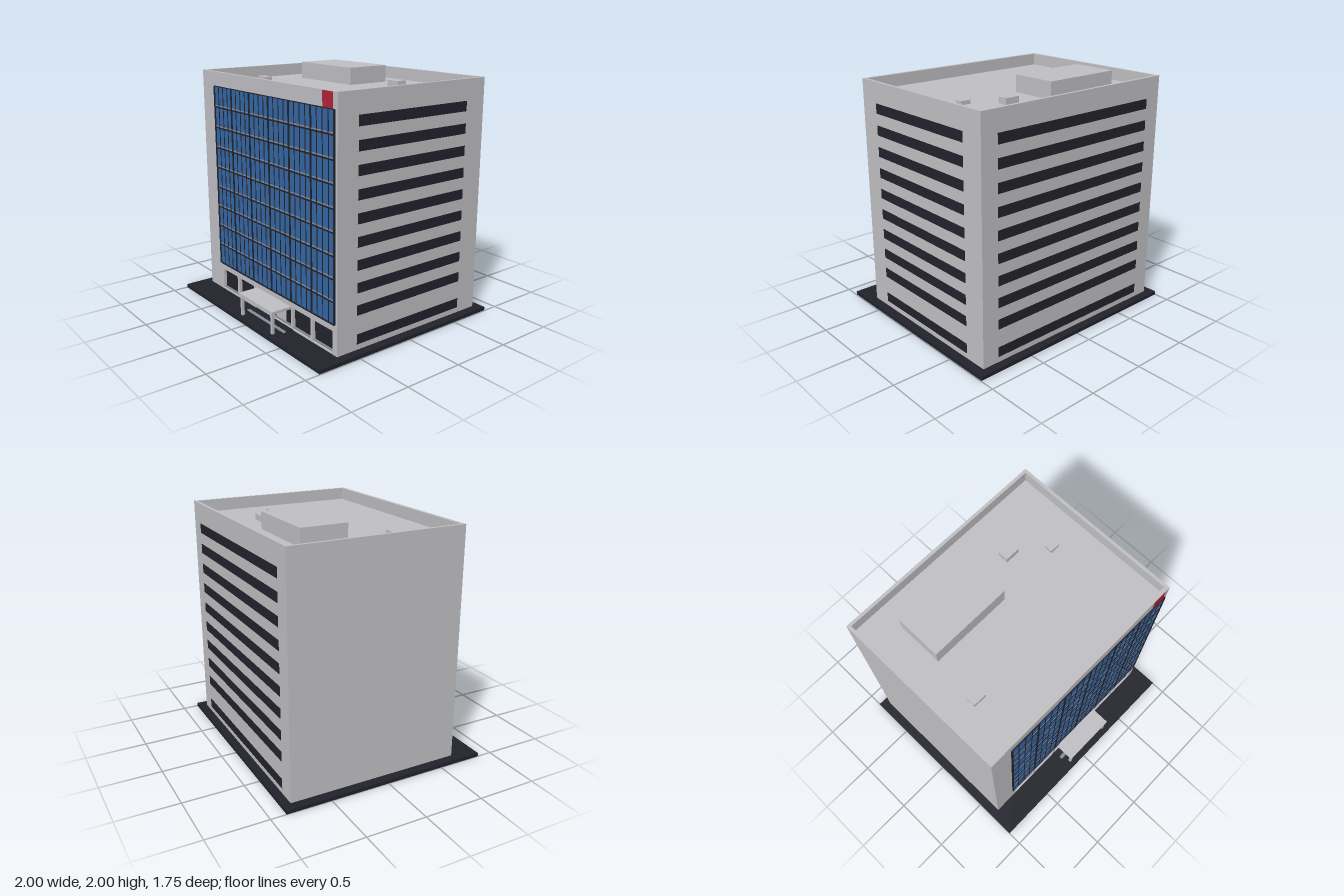
import * as THREE from 'three';

const mat = (name, color) => {
  const m = new THREE.MeshStandardMaterial({ color });
  m.name = name;
  return m;
};

export function createModel() {
  const wall = mat('pale grey concrete', 0xc0c0c4);
  const dark = mat('dark glass and paving', 0x22222c);
  const blue = mat('blue glass', 0x3465a4);
  const red = mat('red panel', 0xb02238);
  const sillGrey = mat('grey sill', 0x858c98);

  const model = new THREE.Group();
  model.name = 'officeBuilding';

  // box given by its limits on each axis
  function box(name, material, x0, x1, y0, y1, z0, z1, parent = model) {
    const mesh = new THREE.Mesh(new THREE.BoxGeometry(x1 - x0, y1 - y0, z1 - z0), material);
    mesh.position.set((x0 + x1) / 2, (y0 + y1) / 2, (z0 + z1) / 2);
    mesh.name = name;
    parent.add(mesh);
    return mesh;
  }
  function group(name) {
    const g = new THREE.Group();
    g.name = name;
    model.add(g);
    return g;
  }
  function rect(PathType, x0, x1, y0, y1) {
    return new PathType().moveTo(x0, y0).lineTo(x1, y0).lineTo(x1, y1).lineTo(x0, y1).closePath();
  }
  function extrude(name, shape, depth) {
    const mesh = new THREE.Mesh(new THREE.ExtrudeGeometry(shape, { depth, bevelEnabled: false }), wall);
    mesh.name = name;
    model.add(mesh);
    return mesh;
  }

  const L = -0.925, R = 0.92, BACK = -0.805, FRONT = 0.655;
  const FLOOR = 0.03, ROOF = 1.86, TOP = 1.96, RECESS = 0.03;

  box('pavement', dark, -1, 0.995, 0, FLOOR, -0.873, 0.873);
  box('buildingBody', wall, L, R, FLOOR, ROOF, BACK, FRONT - RECESS);

  // front wall with openings for the ground floor windows
  const bays = [[-0.70, -0.465], [-0.435, -0.2], [-0.17, 0.338], [0.358, 0.596], [0.62, 0.862]];
  const face = rect(THREE.Shape, L, R, FLOOR, ROOF);
  bays.forEach(([a, b]) => face.holes.push(rect(THREE.Path, a, b, 0.042, 0.218)));
  extrude('frontWall', face, RECESS).position.z = FRONT - RECESS;
  const shops = group('groundFloorWindows');
  bays.forEach(([a, b]) => {
    box('shopWindow', dark, a, b, 0.042, 0.218, FRONT - RECESS, FRONT - RECESS + 0.004, shops);
    box('shopSill', sillGrey, a, b, 0.042, 0.054, FRONT - RECESS, FRONT - 0.012, shops);
  });

  // parapet ring round the roof
  const ring = rect(THREE.Shape, L, R, -FRONT, -BACK);
  ring.holes.push(rect(THREE.Path, L + 0.026, R - 0.026, -FRONT + 0.03, -BACK - 0.026));
  const parapet = extrude('parapet', ring, TOP - ROOF);
  parapet.rotation.x = -Math.PI / 2;
  parapet.position.y = ROOF;

  // roof structures
  box('roofPlantRoom', wall, -0.635, 0.045, ROOF, 2, -0.56, -0.175);
  box('roofVent', wall, 0.275, 0.4, ROOF, 1.91, -0.46, -0.375);
  box('roofVent', wall, 0.565, 0.65, ROOF, 1.89, -0.255, -0.19);
  box('roofVent', wall, -0.69, -0.58, ROOF, 1.9, 0.18, 0.255);

  // ribbon windows on the +x side and the back
  const ribbons = group('ribbonWindows');
  for (let i = 0; i < 10; i++) {
    const y1 = i < 9 ? 1.79 - i * 0.1755 : 0.155;
    box('sideWindow', dark, R - 0.004, R + 0.003, y1 - 0.08, y1, -0.61, 0.47, ribbons);
    box('backWindow', dark, -0.78, 0.775, y1 - 0.08, y1, BACK - 0.003, BACK + 0.004, ribbons);
  }

  // curtain wall: glass sheet, mullions and floor bands
  const curtain = group('curtainWall');
  const cx0 = -0.73, cx1 = 0.89, cy0 = 0.275, cy1 = 1.84;
  box('blueGlass', blue, cx0, cx1, cy0, cy1, FRONT - 0.002, FRONT + 0.003, curtain);
  for (let i = 0; i <= 24; i++) {
    const x = cx0 + (cx1 - cx0) * i / 24;
    const thick = i % 4 === 0;
    const h = thick ? 0.007 : 0.003;
    box('mullion', dark, x - h, x + h, cy0, cy1, FRONT, FRONT + (thick ? 0.01 : 0.007), curtain);
  }
  for (let j = 0; j <= 9; j++) {
    const y = cy0 + (cy1 - cy0) * j / 9;
    const h = j === 9 ? 0.003 : 0.006;
    box('floorBand', dark, cx0, cx1, y - h, y + h, FRONT, FRONT + 0.008, curtain);
    if (j > 0 && j < 9) box('floorSill', sillGrey, cx0, cx1, y + h, y + 0.017, FRONT, FRONT + 0.005, curtain);
  }

  box('redPanel', red, 0.755, 0.87, 1.84, 1.957, FRONT - 0.002, FRONT + 0.004);

  // entrance: canopy on posts, doors and step
  const entrance = group('entrance');
  box('canopy', wall, -0.15, 0.337, 0.2, 0.222, FRONT, 0.832, entrance);
  box('canopyBeam', wall, -0.138, 0.325, 0.19, 0.2, 0.8, 0.826, entrance);
  for (const x of [-0.128, 0.314]) {
    box('canopyPost', wall, x - 0.011, x + 0.011, FLOOR, 0.2, 0.802, 0.826, entrance);
  }
  const doorZ = FRONT - RECESS + 0.004;
  for (let i = 0; i < 6; i++) {
    const x = -0.05 + i * 0.0485;
    box('doorPanel', wall, x, x + 0.043, 0.054, 0.15, doorZ, doorZ + 0.004, entrance);
  }
  box('doorSurround', dark, 0.066, 0.096, 0.054, 0.19, doorZ, doorZ + 0.007, entrance);
  box('doorPost', wall, 0.071, 0.091, 0.042, 0.19, doorZ, doorZ + 0.02, entrance);
  box('entrancePaving', dark, -0.17, 0.36, FLOOR, 0.036, FRONT, 0.76, entrance);
  box('entranceStep', sillGrey, -0.172, 0.362, FLOOR, 0.039, 0.72, 0.75, entrance);

  return model;
}
